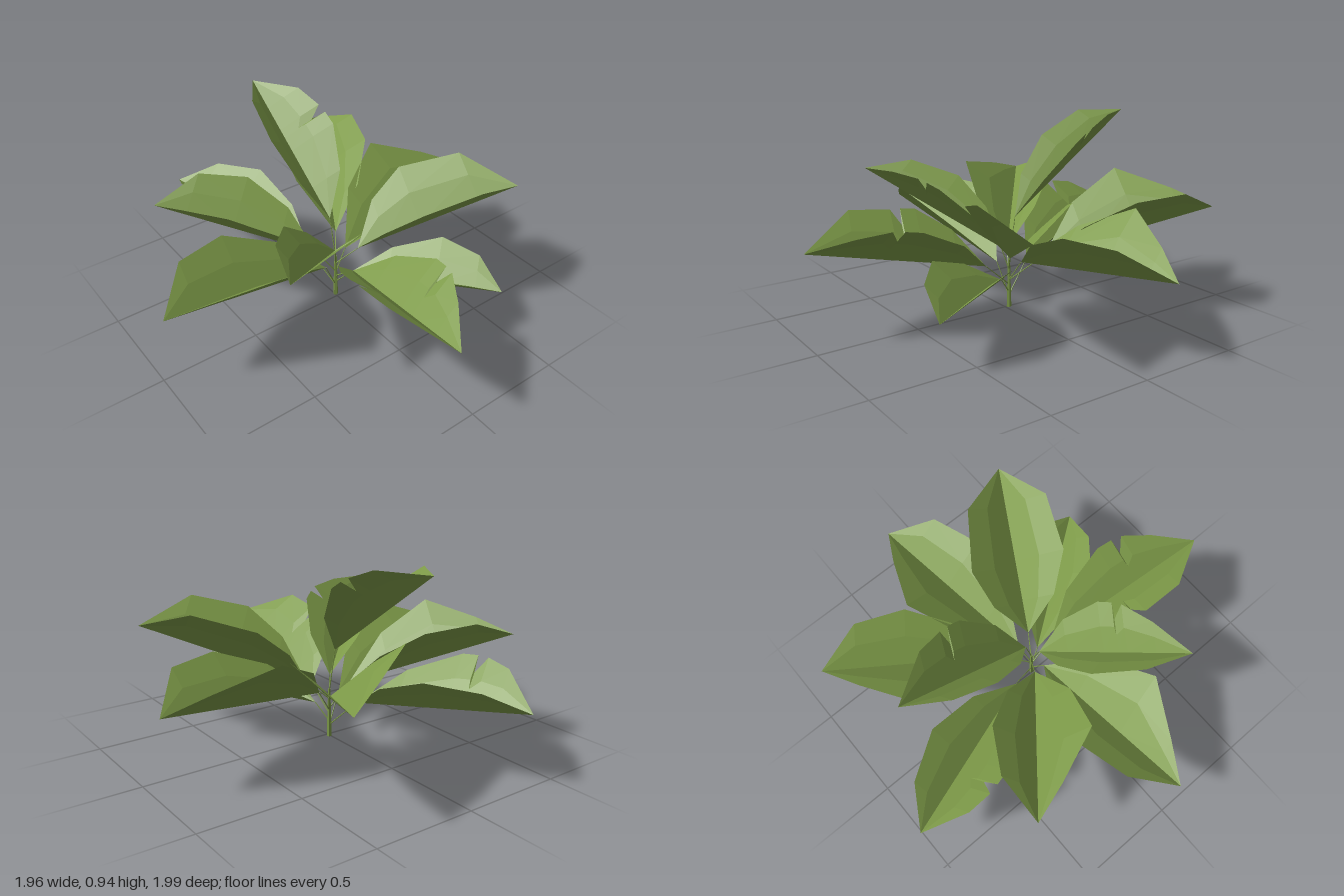
import * as THREE from 'three';

const leafGreen = new THREE.MeshStandardMaterial({ color: 0x7d9a48, flatShading: true, side: THREE.DoubleSide });
leafGreen.name = 'leafGreen';

const V = (a) => new THREE.Vector3(...a);

// Outline of one leaf half: [position along midrib, width], widest at the peak
function halfOutline({ width, peak, tail = 0.7, torn }) {
  const pts = [[0, 0], [peak * 0.45, 0.66], [peak, 1]];
  if (torn) pts.push([peak + 0.09, 0.98], [peak + 0.095, 0.66], [peak + 0.15, 0.94]);
  pts.push([peak + (1 - peak) * 0.6, tail], [1, 0]);
  return pts.map(([t, w]) => [t, w * width]);
}

// V-folded leaf: straight midrib, both halves rising steeply, then flattening to the rim
function leafGeometry({ base, tip, left, right, lift = 0.92 }) {
  const b = V(base), along = V(tip).sub(b);
  const side = along.clone().cross(new THREE.Vector3(0, 1, 0)).normalize();
  const normal = side.clone().cross(along).normalize();
  const positions = [];
  for (const [s, half] of [[-1, left], [1, right]]) {
    const outline = halfOutline(half);
    const rows = [[0, 0], [0.5, 0.56], [1, 1]].map(([across, up]) => outline.map(([t, w]) =>
      b.clone().addScaledVector(along, t)
        .addScaledVector(side, s * w * across)
        .addScaledVector(normal, w * lift * up)));
    for (let r = 0; r < 2; r++) {
      const inner = rows[r], outer = rows[r + 1];
      for (let i = 0; i < outline.length - 1; i++) {
        const quad = [inner[i], outer[i + 1], inner[i + 1], inner[i], outer[i], outer[i + 1]];
        if (s < 0) quad.reverse();
        for (const p of quad) positions.push(p.x, p.y, p.z);
      }
    }
  }
  const geo = new THREE.BufferGeometry();
  geo.setAttribute('position', new THREE.Float32BufferAttribute(positions, 3));
  geo.computeVertexNormals();
  return geo;
}

// Tapered straight stalk between two points
function stalk(name, from, to, r0, r1) {
  const a = V(from), d = V(to).sub(a);
  const geo = new THREE.CylinderGeometry(r1, r0, d.length(), 5);
  geo.translate(0, d.length() / 2, 0);
  const mesh = new THREE.Mesh(geo, leafGreen);
  mesh.quaternion.setFromUnitVectors(new THREE.Vector3(0, 1, 0), d.normalize());
  mesh.position.copy(a);
  mesh.name = name;
  return mesh;
}

// Leaves, left and right as seen looking outward; root is the stalk height on the stem
const leaves = [
  { name: 'leafEast', root: 0.14, base: [0.08, 0.25, -0.04], tip: [0.98, 0.37, -0.18],
    left: { width: 0.27, peak: 0.56, tail: 0.45 }, right: { width: 0.22, peak: 0.54, tail: 0.8 } },
  { name: 'leafBackLeft', root: 0.14, base: [0.11, 0.27, -0.16], tip: [0.53, 0.5, -0.89],
    left: { width: 0.28, peak: 0.56, tail: 0.45 }, right: { width: 0.21, peak: 0.54, tail: 0.8 } },
  { name: 'leafBack', root: 0.06, base: [-0.05, 0.21, -0.17], tip: [-0.35, 0.34, -1.0],
    left: { width: 0.22, peak: 0.54, tail: 0.75, torn: true }, right: { width: 0.19, peak: 0.54 } },
  { name: 'leafBackRight', root: 0.15, base: [-0.08, 0.28, -0.07], tip: [-0.69, 0.54, -0.57],
    left: { width: 0.25, peak: 0.57, tail: 0.45 }, right: { width: 0.2, peak: 0.52, tail: 0.8 } },
  { name: 'leafWest', root: 0.06, base: [-0.07, 0.22, 0], tip: [-0.98, 0.4, 0.06],
    left: { width: 0.26, peak: 0.58, tail: 0.42 }, right: { width: 0.22, peak: 0.54, tail: 0.78 } },
  { name: 'leafFrontRight', root: 0.2, base: [-0.02, 0.31, 0.01], tip: [-0.58, 0.67, 0.46],
    left: { width: 0.19, peak: 0.45, tail: 0.6, torn: true }, right: { width: 0.17, peak: 0.48, tail: 0.75 } },
  { name: 'leafFront', root: 0.12, base: [0.01, 0.24, 0.12], tip: [-0.11, 0.43, 0.99],
    left: { width: 0.2, peak: 0.5, tail: 0.6, torn: true }, right: { width: 0.225, peak: 0.36, tail: 0.85, torn: true } },
  { name: 'leafLowFrontLeft', root: 0.08, base: [0.04, 0.165, 0.05], tip: [0.49, 0.23, 0.67], lift: 0.88,
    left: { width: 0.18, peak: 0.58 }, right: { width: 0.19, peak: 0.54 } },
  { name: 'leafFrontLeft', root: 0.2, base: [0.1, 0.29, 0.04], tip: [0.79, 0.6, 0.43],
    left: { width: 0.23, peak: 0.4, tail: 0.85 }, right: { width: 0.23, peak: 0.44, tail: 0.85 } },
  { name: 'leafTop', root: 0.24, base: [0, 0.46, -0.06], tip: [0.01, 0.94, -0.74],
    left: { width: 0.15, peak: 0.52, tail: 0.8 }, right: { width: 0.185, peak: 0.48, tail: 0.75, torn: true } },
];

export function createModel() {
  const plant = new THREE.Group();
  plant.name = 'leafyPlant';

  // Central stem
  plant.add(stalk('stem', [0.005, 0, -0.02], [0.005, 0.25, -0.02], 0.013, 0.006));

  // Each leaf with its thin stalk
  for (const leaf of leaves) {
    const group = new THREE.Group();
    group.name = leaf.name;
    const blade = new THREE.Mesh(leafGeometry(leaf), leafGreen);
    blade.name = 'blade';
    group.add(blade, stalk('leafStalk', [0.005, leaf.root, -0.02], leaf.base, 0.0035, 0.002));
    plant.add(group);
  }
  return plant;
}
